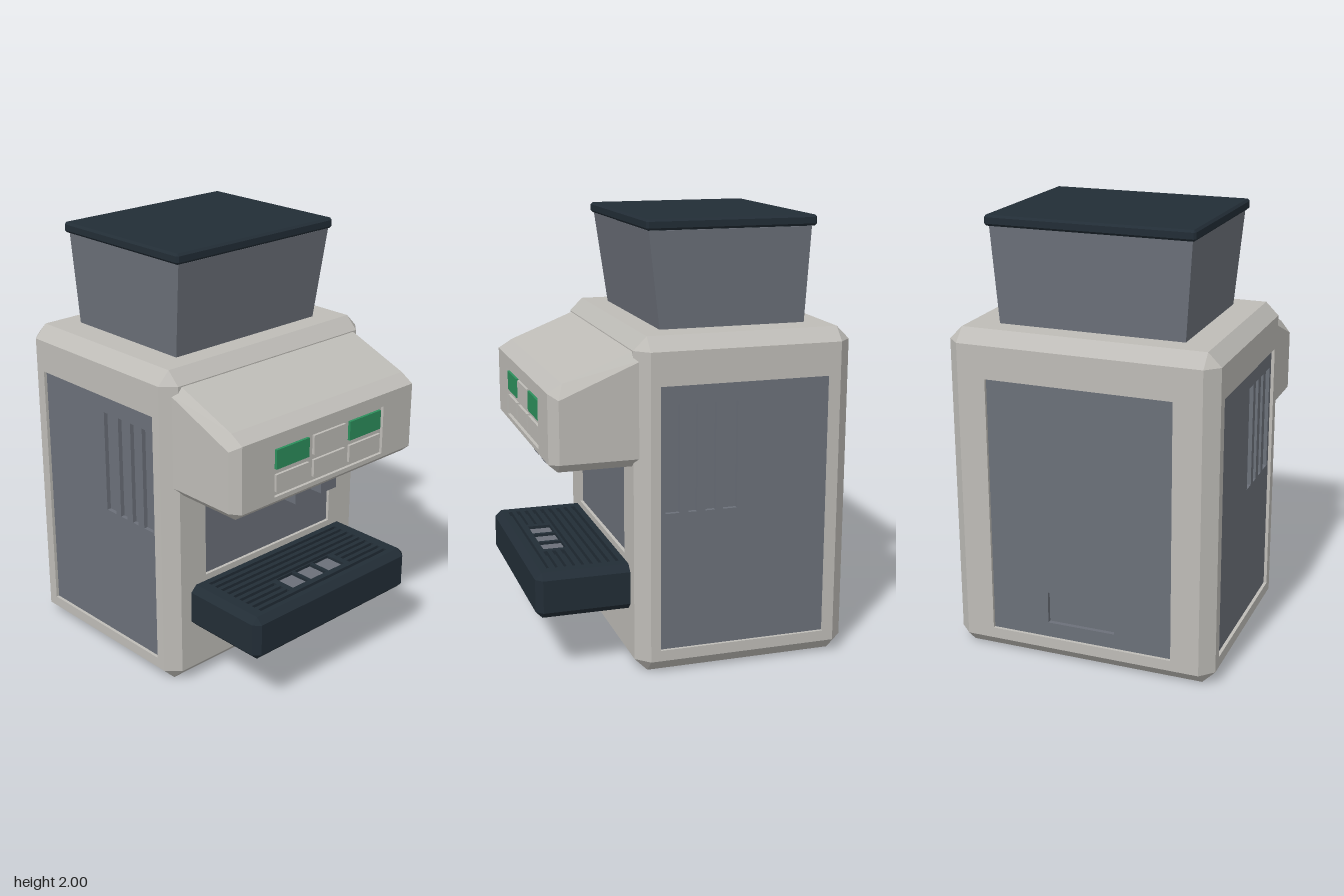
import * as THREE from 'three';
import { ConvexGeometry } from 'three/addons/geometries/ConvexGeometry.js';

const mat = (name, color, side = THREE.FrontSide) => {
  const m = new THREE.MeshStandardMaterial({ color, side });
  m.name = name;
  return m;
};

// Rectangles are [x0, x1, y0, y1]
const outline = (Path, [x0, x1, y0, y1]) =>
  new Path([[x0, y0], [x1, y0], [x1, y1], [x0, y1]].map(p => new THREE.Vector2(...p)));

// Flat plate with rectangular holes, its front at z = 0
function plateGeometry(rect, holes, depth) {
  const shape = outline(THREE.Shape, rect);
  shape.holes = holes.map(h => outline(THREE.Path, h));
  return new THREE.ExtrudeGeometry(shape, { depth, bevelEnabled: false }).translate(0, 0, -depth);
}

// Hull of points, leaving out the flat faces that point along the given directions
function hull(points, open = []) {
  const g = new ConvexGeometry(points.map(p => new THREE.Vector3(...p)));
  if (!open.length) return g;
  const pos = g.attributes.position, nor = g.attributes.normal, p = [], n = [];
  for (let i = 0; i < pos.count; i += 3) {
    const v = new THREE.Vector3().fromBufferAttribute(nor, i);
    if (open.some(d => v.dot(new THREE.Vector3(...d)) > 0.999)) continue;
    for (let k = i; k < i + 3; k++) {
      p.push(pos.getX(k), pos.getY(k), pos.getZ(k));
      n.push(v.x, v.y, v.z);
    }
  }
  const out = new THREE.BufferGeometry();
  out.setAttribute('position', new THREE.Float32BufferAttribute(p, 3));
  out.setAttribute('normal', new THREE.Float32BufferAttribute(n, 3));
  return out;
}

// Box with all edges cut by c
function chamferBox(x0, x1, y0, y1, z0, z1, c, open) {
  const pts = [];
  for (const [x, sx] of [[x0, 1], [x1, -1]])
    for (const [y, sy] of [[y0, 1], [y1, -1]])
      for (const [z, sz] of [[z0, 1], [z1, -1]])
        pts.push([x, y + sy * c, z + sz * c], [x + sx * c, y, z + sz * c], [x + sx * c, y + sy * c, z]);
  return hull(pts, open);
}

export function createModel() {
  const group = new THREE.Group();
  const casing = mat('casing grey', 0xbebcb7);
  const panel = mat('panel slate', 0x6b7079);
  const dark = mat('dark navy', 0x222d36);
  const green = mat('button green', 0x2c8f5c);

  const add = (name, geometry, material) => {
    const m = new THREE.Mesh(geometry, material);
    m.name = name;
    group.add(m);
    return m;
  };
  const box = (name, x0, x1, y0, y1, z0, z1, material) =>
    add(name, new THREE.BoxGeometry(x1 - x0, y1 - y0, z1 - z0)
      .translate((x0 + x1) / 2, (y0 + y1) / 2, (z0 + z1) / 2), material);

  // Casing: chamfered shell whose four walls are frames around recessed panels
  add('casing', chamferBox(-0.62, 0.62, 0, 1.52, -0.71, 0.285, 0.06,
    [[1, 0, 0], [-1, 0, 0], [0, 0, 1], [0, 0, -1]]), casing);

  const R = 0.015;
  function wall(name, rect, opening, slots, angle, dist) {
    const place = (g, inset) => g.translate(0, 0, dist - inset).rotateY(angle);
    const [a, b, c, d] = opening;
    add(name + 'Frame', place(plateGeometry(rect, [opening], 0.03), 0), casing);
    add(name + 'Panel', place(plateGeometry([a - 0.01, b + 0.01, c - 0.01, d + 0.01], slots, 0.02), R), panel);
    if (slots.length) add(name + 'SlotBacking', place(plateGeometry(opening, [], 0.01), R + 0.02), panel);
  }
  const vents = [[0.09, 0.155], [0.01, 0.05], [-0.075, -0.03], [-0.175, -0.11]];
  for (const s of [1, -1]) {
    const span = (z0, z1, y0, y1) => s > 0 ? [-z1, -z0, y0, y1] : [z0, z1, y0, y1];
    wall(s > 0 ? 'leftSide' : 'rightSide', span(-0.65, 0.225, 0.06, 1.46), span(-0.6, 0.18, 0.11, 1.31),
      vents.map(([a, b]) => span(a, b, 0.74, 1.225)), s * Math.PI / 2, 0.62);
  }
  wall('front', [-0.56, 0.56, 0.06, 1.46], [-0.41, 0.405, 0.51, 0.91], [], 0, 0.285);
  wall('back', [-0.56, 0.56, 0.06, 1.46], [-0.43, 0.43, 0.11, 1.31], [[-0.16, 0.16, 0.18, 0.33]], Math.PI, 0.71);

  // Overhanging head with sloping top and an inset button field
  const middle = [[0.24, 1.465], [0.285, 1.455], [0.59, 1.335], [0.655, 1.295], [0.655, 0.985], [0.615, 0.95], [0.24, 0.95]];
  const cheek = [[0.24, 1.425], [0.615, 1.27], [0.615, 0.99], [0.24, 0.99]];
  const headPoints = [];
  for (const s of [1, -1]) {
    middle.forEach(([z, y]) => headPoints.push([s * 0.54, y, z]));
    cheek.forEach(([z, y]) => headPoints.push([s * 0.58, y, z]));
  }
  add('head', hull(headPoints, [[0, 0, 1]]), casing);
  const field = [-0.35, 0.345, 1.005, 1.235];
  add('headFront', plateGeometry([-0.54, 0.54, 0.985, 1.295], [field], 0.02).translate(0, 0, 0.655), casing);
  add('buttonField', plateGeometry(field, [], 0.01).translate(0, 0, 0.64), casing);

  // Two rows of three buttons
  [[-0.335, -0.135], [-0.105, 0.095], [0.125, 0.33]].forEach(([x0, x1], i) => {
    box('upperButton', x0, x1, 1.13, 1.22, 0.635, 0.653, i === 1 ? casing : green);
    box('lowerButton', x0, x1, 1.025, 1.105, 0.635, 0.653, casing);
  });

  // Twin spouts
  for (const x of [-0.135, 0.03]) box('spout', x, x + 0.1, 0.875, 0.96, 0.475, 0.575, panel);

  // Drip tray: slotted top with a drain in the middle
  add('dripTray', chamferBox(-0.5, 0.5, 0.27, 0.48, 0.2, 0.71, 0.03, [[0, 1, 0]]), dark);
  const slots = [];
  for (let i = 0; i < 9; i++) {
    const z = 0.315 + i * 0.04;
    if (z > 0.49 && z < 0.61) slots.push([-0.42, -0.2, -z - 0.018, -z], [0.2, 0.42, -z - 0.018, -z]);
    else slots.push([-0.42, 0.42, -z - 0.018, -z]);
  }
  const drain = [-0.17, 0.17, -0.605, -0.5];
  add('trayGrille', plateGeometry([-0.47, 0.47, -0.68, -0.23], [...slots, drain], 0.02)
    .rotateX(-Math.PI / 2).translate(0, 0.48, 0), dark);
  box('trayFloor', -0.46, 0.46, 0.45, 0.46, 0.24, 0.67, dark);
  box('drainPlate', -0.17, 0.17, 0.46, 0.466, 0.5, 0.605, panel);
  for (const x of [-0.07, 0.05]) box('drainBar', x, x + 0.02, 0.46, 0.478, 0.5, 0.605, dark);

  // Tapered hopper and its lid
  const hopper = [];
  for (const [y, x0, x1, z0, z1] of [[1.51, -0.43, 0.425, -0.55, 0.125], [1.95, -0.46, 0.455, -0.565, 0.183]])
    for (const x of [x0, x1]) for (const z of [z0, z1]) hopper.push([x, y, z]);
  add('hopper', hull(hopper), panel);
  add('hopperLid', chamferBox(-0.478, 0.472, 1.952, 2, -0.585, 0.197, 0.01), dark);
  box('lidSeal', -0.45, 0.445, 1.945, 1.96, -0.555, 0.17, dark);

  return group;
}
